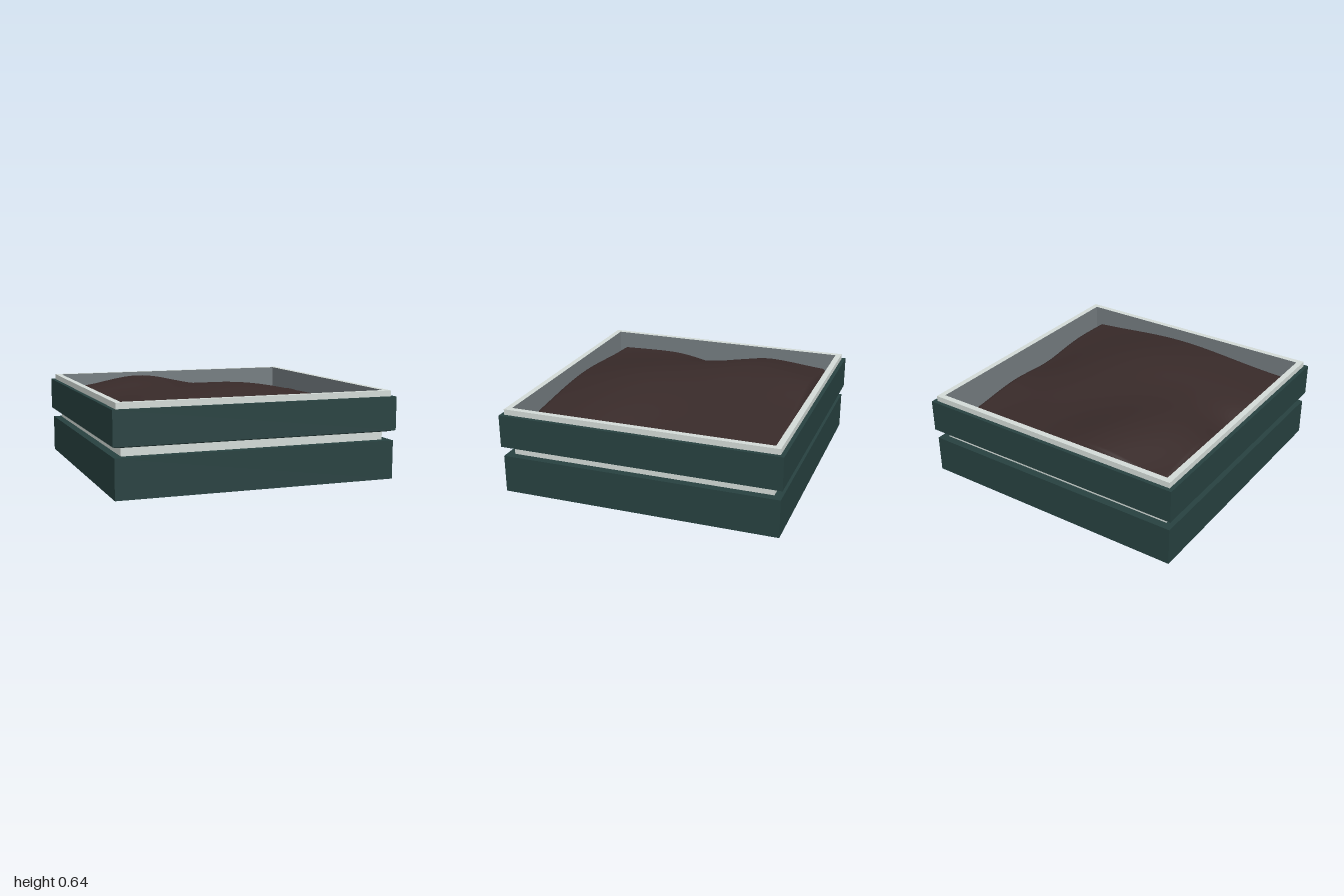
import * as THREE from 'three';

const paint = (name, color, side = THREE.FrontSide) => {
  const m = new THREE.MeshStandardMaterial({ color, side });
  m.name = name;
  return m;
};

// Square ring or block: a four-sided lathe of [half width, y] points
function squareLathe(name, profile, material) {
  const points = profile.map(([r, y]) => new THREE.Vector2(r * Math.SQRT2, y));
  const geo = new THREE.LatheGeometry(points, 4).rotateY(Math.PI / 4).toNonIndexed();
  geo.computeVertexNormals();
  const mesh = new THREE.Mesh(geo, material);
  mesh.name = name;
  return mesh;
}

// Mounds and hollows in the soil: x, z, height, spread
const bumps = [
  [0.04, 0.33, 0.135, 0.65],
  [-0.57, -0.35, 0.085, 0.4],
  [-0.3, -0.75, 0.075, 0.35],
  [0.75, -0.8, -0.05, 0.35],
  [-0.95, 0, -0.09, 0.25],
  [0.9, 0.1, -0.05, 0.3],
];
const FLOOR = 0.25;

function soilHeight(x, z) {
  return bumps.reduce((h, [bx, bz, a, w]) =>
    h + a * Math.exp(-((x - bx) ** 2 + (z - bz) ** 2) / (w * w)), 0.5);
}

// Soft heap with rounded corners and a rolled-over edge
function soilGeometry() {
  const geo = new THREE.PlaneGeometry(2, 2, 64, 64).rotateX(-Math.PI / 2);
  const p = geo.attributes.position;
  const corner = 0.92;
  const tighten = (t) => Math.sin(t * Math.PI / 2);
  for (let i = 0; i < p.count; i++) {
    let u = tighten(p.getX(i)), v = tighten(p.getZ(i));
    const edge = 1 - Math.max(Math.abs(u), Math.abs(v));
    const du = Math.abs(u) - corner, dv = Math.abs(v) - corner;
    if (du > 0 && dv > 0) {
      const k = Math.max(du, dv) / Math.hypot(du, dv);
      u = Math.sign(u) * (corner + du * k);
      v = Math.sign(v) * (corner + dv * k);
    }
    const x = u * 0.9 - 0.02, z = v * 0.915 - 0.005;
    const roll = Math.sqrt(Math.max(0, 1 - (1 - Math.min(edge / 0.08, 1)) ** 2));
    p.setXYZ(i, x, FLOOR + (soilHeight(x, z) - FLOOR) * roll, z);
  }
  geo.computeVertexNormals();
  return geo;
}

export function createModel() {
  const green = paint('darkGreen', 0x274140);
  const pale = paint('paleGrey', 0xd3dbd7);
  const grey = paint('linerGrey', 0x747c80);
  const brown = paint('soilBrown', 0x382a29, THREE.DoubleSide);

  const group = new THREE.Group();
  group.name = 'planterBox';

  // Solid lower tier
  group.add(squareLathe('lowerTier',
    [[0, 0], [0.988, 0], [0.988, 0.27], [0.92, 0.27]], green));
  // Recessed band between the tiers
  group.add(squareLathe('recessBand', [[0.932, 0.265], [0.932, 0.335]], pale));
  // Upper tier with a bevelled underside
  group.add(squareLathe('upperTier',
    [[0.93, 0.328], [0.95, 0.328], [1, 0.342], [1, 0.575], [0.965, 0.575]], green));
  // Raised rim
  group.add(squareLathe('rim',
    [[0.972, 0.57], [0.972, 0.615], [0.93, 0.615]], pale));
  // Inner walls and floor
  group.add(squareLathe('liner',
    [[0.93, 0.615], [0.93, FLOOR], [0, FLOOR]], grey));

  const soil = new THREE.Mesh(soilGeometry(), brown);
  soil.name = 'soil';
  group.add(soil);
  return group;
}
